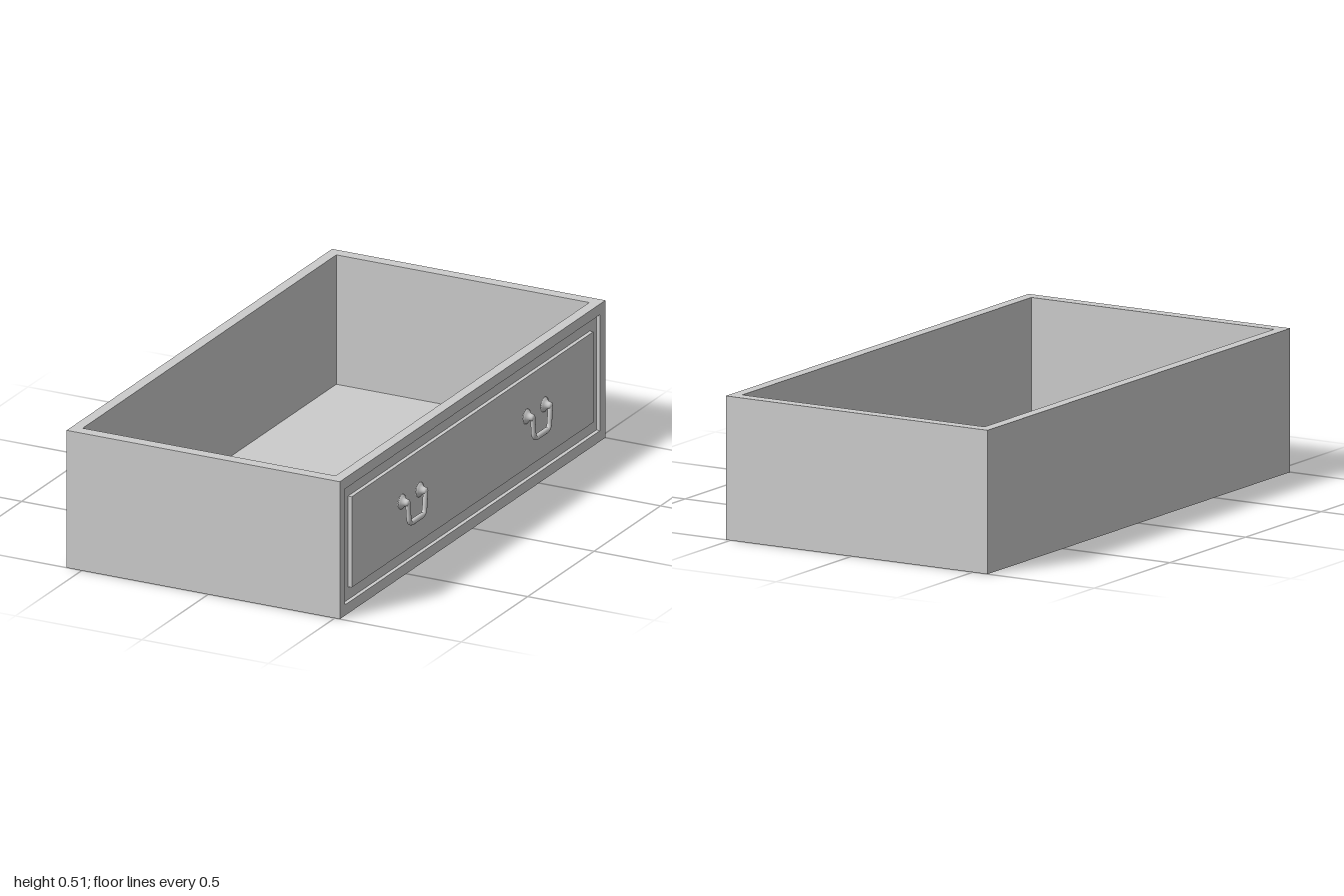
import * as THREE from 'three';

const material = new THREE.MeshStandardMaterial({ color: 0xcccccc });
const BACK = -0.56, FRONT = 0.52, HEIGHT = 0.515, GROOVE = 0.015;

function addMesh(parent, name, geometry, x = 0, y = 0, z = 0) {
  const mesh = new THREE.Mesh(geometry, material);
  mesh.name = name;
  mesh.position.set(x, y, z);
  parent.add(mesh);
  return mesh;
}

// Rectangle outline running from (x0, y0) to (x1, y1)
function rectangle(Type, x0, y0, x1, y1) {
  const r = new Type();
  r.moveTo(x0, y0);
  r.lineTo(x1, y0);
  r.lineTo(x1, y1);
  r.lineTo(x0, y1);
  r.closePath();
  return r;
}

// Rectangular ring with a given depth along local z
function ring(outer, inner, depth) {
  const shape = rectangle(THREE.Shape, ...outer);
  shape.holes.push(rectangle(THREE.Path, ...inner));
  return new THREE.ExtrudeGeometry(shape, { depth, bevelEnabled: false });
}

function createHandle() {
  const handle = new THREE.Group();
  handle.name = 'handle';

  // Flared knobs holding the bail
  const profile = [[0, 0], [0.028, 0], [0.027, 0.004], [0.021, 0.008], [0.015, 0.014],
    [0.013, 0.022], [0.012, 0.028], [0.008, 0.032], [0, 0.034]]
    .map(([r, h]) => new THREE.Vector2(r, h));
  for (const side of [-1, 1]) {
    const post = addMesh(handle, 'handlePost', new THREE.LatheGeometry(profile, 20), 0, 0.283, side * 0.067);
    post.rotation.z = -Math.PI / 2;
  }

  // Hanging bail: two arms with rounded lower corners
  const point = (y, z) => new THREE.Vector3(0.026, y, z);
  const path = new THREE.CurvePath();
  path.add(new THREE.LineCurve3(point(0.285, -0.067), point(0.225, -0.060)));
  path.add(new THREE.QuadraticBezierCurve3(point(0.225, -0.060), point(0.2, -0.057), point(0.2, -0.04)));
  path.add(new THREE.LineCurve3(point(0.2, -0.04), point(0.2, 0.04)));
  path.add(new THREE.QuadraticBezierCurve3(point(0.2, 0.04), point(0.2, 0.057), point(0.225, 0.060)));
  path.add(new THREE.LineCurve3(point(0.225, 0.060), point(0.285, 0.067)));
  addMesh(handle, 'handleBail', new THREE.TubeGeometry(path, 64, 0.009, 12));

  // Slightly swollen grip in the middle of the bail
  const grip = addMesh(handle, 'handleGrip', new THREE.CapsuleGeometry(0.0105, 0.075, 4, 14), 0.026, 0.2, 0);
  grip.rotation.x = Math.PI / 2;
  return handle;
}

export function createModel() {
  const drawer = new THREE.Group();
  drawer.name = 'drawer';

  // Four walls as one ring, extruded upwards
  const face = FRONT - GROOVE;
  const walls = addMesh(drawer, 'walls', ring([BACK, -1, face, 1], [-0.52, -0.955, 0.48, 0.955], HEIGHT));
  walls.rotation.x = -Math.PI / 2;

  // Floor board
  addMesh(drawer, 'floor', new THREE.BoxGeometry(1, 0.03, 1.91), -0.02, 0.015, 0);

  // Raised border and centre panel, with a groove between them
  const border = addMesh(drawer, 'frontBorder',
    ring([-1, 0, 1, HEIGHT], [-0.96, 0.04, 0.96, 0.475], GROOVE), face);
  border.rotation.y = Math.PI / 2;
  addMesh(drawer, 'frontPanel', new THREE.BoxGeometry(GROOVE, 0.34, 1.82), FRONT - GROOVE / 2, 0.258, 0);

  // Pair of pulls
  for (const z of [-0.47, 0.47]) {
    const handle = createHandle();
    handle.position.set(FRONT, 0, z);
    drawer.add(handle);
  }
  return drawer;
}
